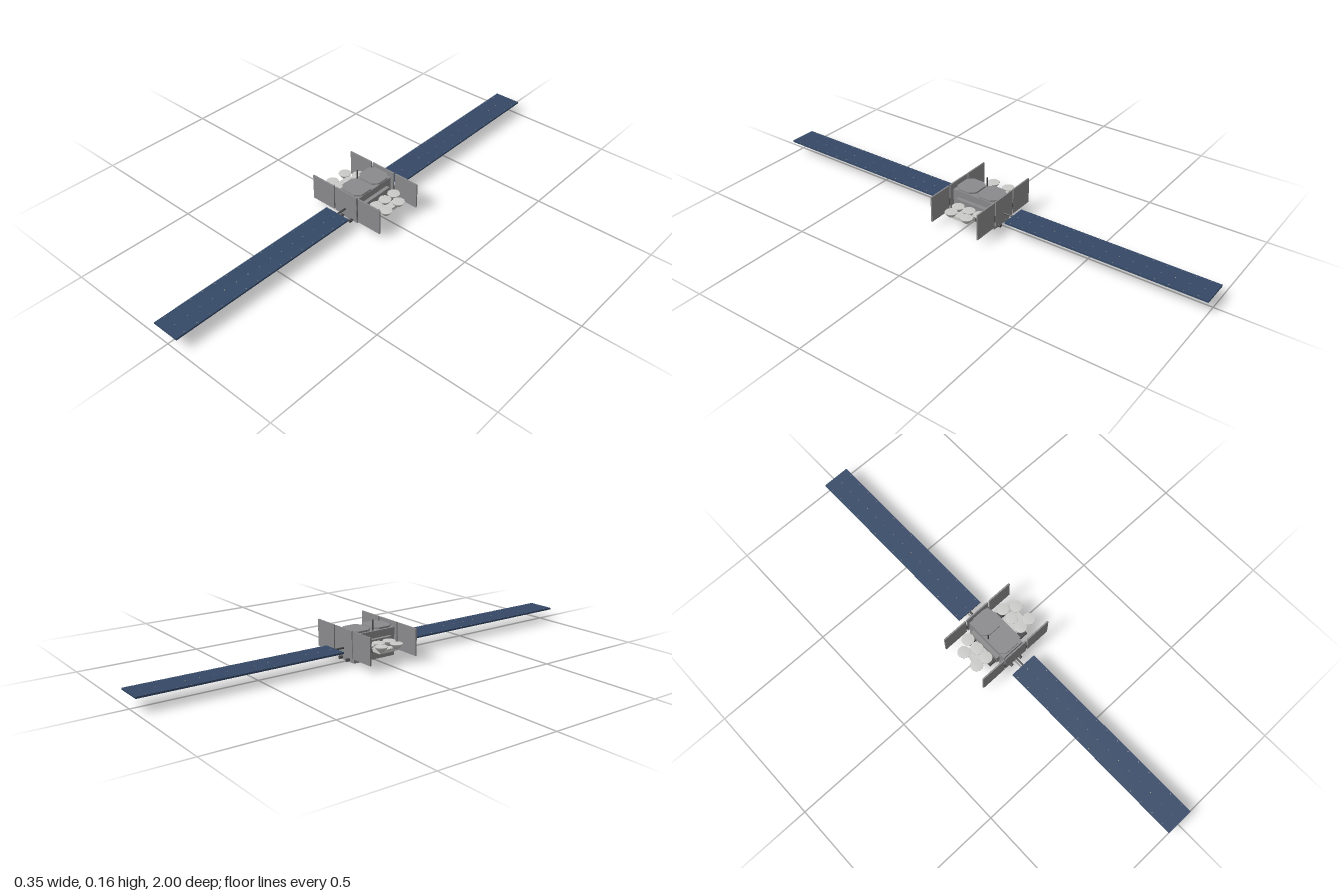
import * as THREE from 'three';

export function createModel() {
  const model = new THREE.Group();
  const mat = (name, color, extra = {}) => {
    const m = new THREE.MeshStandardMaterial({ color, ...extra });
    m.name = name;
    return m;
  };
  const grey = mat('bodyGrey', 0x8a8a8c);
  const light = mat('dishLight', 0xcacac8, { side: THREE.DoubleSide });
  const dark = mat('darkMetal', 0x48484a);
  const navy = mat('solarNavy', 0x344866);
  const tan = mat('cellTan', 0xa59a86);

  const add = (name, geo, material, x, y, z, parent = model) => {
    const mesh = new THREE.Mesh(geo, material);
    mesh.name = name;
    mesh.position.set(x, y, z);
    parent.add(mesh);
    return mesh;
  };
  const box = (name, material, w, h, d, x, y, z, parent) =>
    add(name, new THREE.BoxGeometry(w, h, d), material, x, y, z, parent);

  const cx = -0.003;

  // Central body
  box('body', grey, 0.099, 0.115, 0.2, cx, 0.0595, -0.003);
  box('bellyPlate', dark, 0.09, 0.002, 0.19, cx, 0.001, -0.003);

  // Two large chamfered reflectors on the roof
  const reflector = new THREE.Shape();
  const w = 0.051, h = 0.047, c = 0.021;
  [[-w + c, -h], [w - c, -h], [w, -h + c], [w, h - c],
    [w - c, h], [-w + c, h], [-w, h - c], [-w, -h + c]].forEach(([x, y], i) =>
    i ? reflector.lineTo(x, y) : reflector.moveTo(x, y));
  const reflectorGeo = new THREE.ExtrudeGeometry(reflector, { depth: 0.007, bevelEnabled: false });
  reflectorGeo.rotateX(-Math.PI / 2);
  for (const z of [-0.056, 0.045]) {
    add('roofReflector', reflectorGeo, grey, cx, 0.121, z);
    add('reflectorMount', new THREE.CylinderGeometry(0.02, 0.025, 0.006, 16), dark, cx, 0.119, z);
  }

  // Roof mast
  add('mast', new THREE.CylinderGeometry(0.0025, 0.0025, 0.046, 8), dark, -0.043, 0.139, -0.003);

  // Clusters of small dishes on brackets either side
  const bowl = new THREE.LatheGeometry([
    [0.006, -0.022], [0.01, -0.02], [0.02, -0.009], [0.026, 0], [0.0255, 0.002], [0, 0.002],
  ].map(([x, y]) => new THREE.Vector2(x, y)), 16);
  for (const side of [-1, 1]) {
    const cluster = new THREE.Group();
    cluster.name = side > 0 ? 'leftDishCluster' : 'rightDishCluster';
    model.add(cluster);
    box('bracketFrame', grey, 0.02, 0.048, 0.15, side * 0.055 + cx, 0.064, -0.003, cluster);
    box('bracketShelf', light, 0.075, 0.014, 0.075, side * 0.1, 0.056, -0.003, cluster);
    for (const z of [-0.062, 0.056])
      box('shelfEnd', dark, 0.035, 0.012, 0.026, side * 0.083, 0.056, z, cluster);
    for (const [x, z] of [[0.094, -0.066], [0.094, -0.014], [0.094, 0.038], [0.142, -0.038], [0.142, 0.036]])
      add('smallDish', bowl, light, side * x, 0.08, z, cluster);
  }

  // Shield plates, solar wings and thrusters at the front and back
  for (const end of [-1, 1]) {
    const name = end > 0 ? 'front' : 'back';
    const zp = end * 0.1105 - 0.002;
    for (const [x, pw] of [[-0.119, 0.112], [-0.001, 0.112], [0.1185, 0.111]])
      box(name + 'Shield', grey, pw, 0.111, 0.006, x, 0.0805, zp);
    for (const x of [-0.06, 0.059])
      box(name + 'Hinge', dark, 0.007, 0.03, 0.003, x, 0.06, zp);
    box(name + 'ShieldMount', dark, 0.06, 0.05, 0.012, cx, 0.085, end * 0.102 - 0.002);

    // Wing and its boom
    box(name + 'Wing', navy, 0.117, 0.007, 0.844, cx, 0.057, end * 0.578);
    const boom = add(name + 'Boom', new THREE.CylinderGeometry(0.004, 0.004, 0.06, 8), dark, cx, 0.057, end * 0.133);
    boom.rotation.x = Math.PI / 2;

    // Tiny gaps between the solar cells
    for (let i = 0; i < 15; i++)
      for (const x of [-0.051, 0, 0.051]) {
        const gap = box('cellGap', tan, 0.003, 0.0006, 0.003, cx + x, 0.0606, end * (0.18 + i * 0.0557));
        gap.rotation.y = Math.PI / 4;
      }

    // Thrusters
    for (const x of [-0.024, 0.024]) {
      const nozzle = add(name + 'Thruster', new THREE.CylinderGeometry(0.004, 0.007, 0.02, 12), dark, x, 0.012, end * 0.108);
      nozzle.rotation.x = -end * Math.PI / 2;
      add(name + 'ThrusterBall', new THREE.SphereGeometry(0.007, 12, 8), dark, x, 0.012, end * 0.109);
    }
  }
  return model;
}
